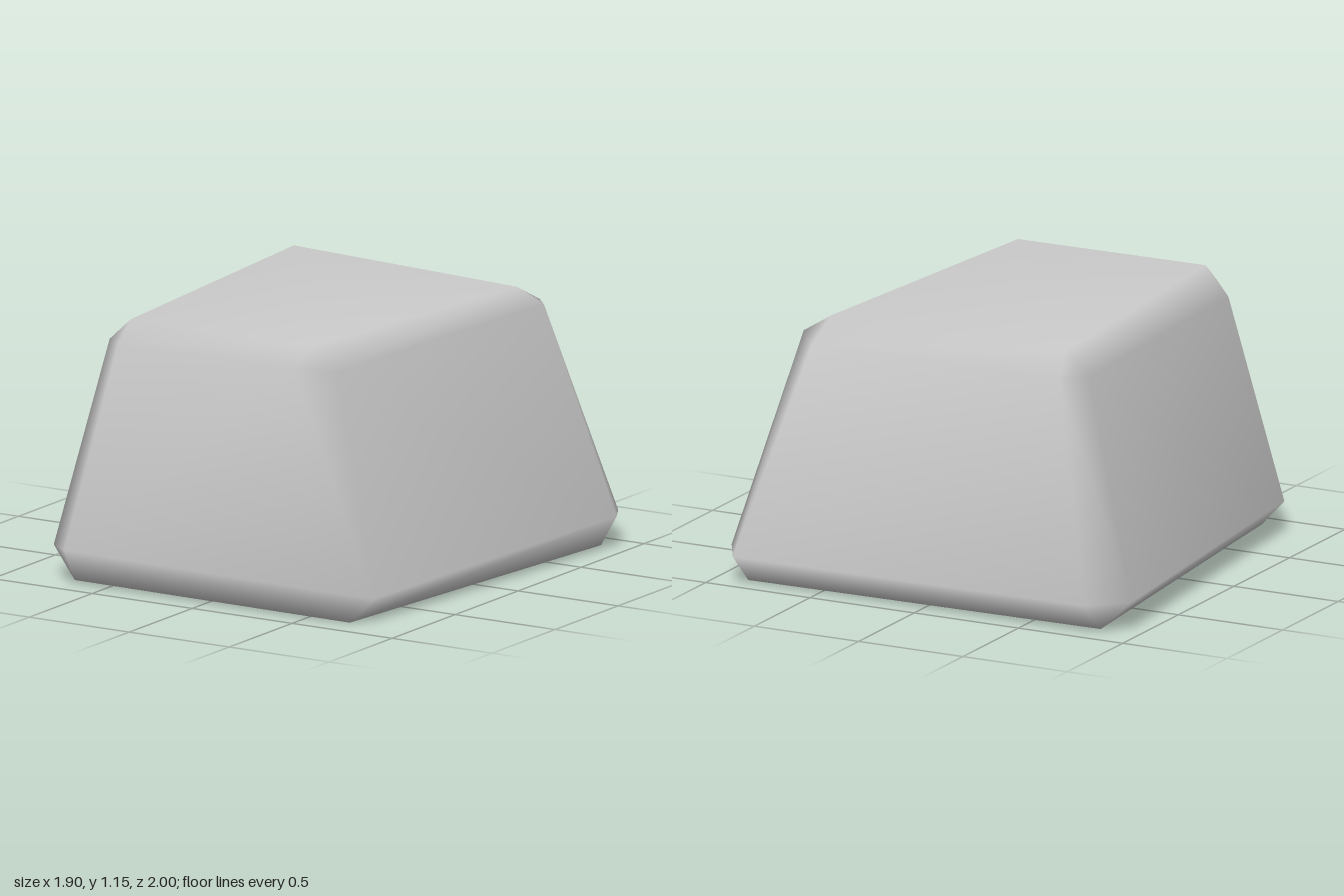
import * as THREE from 'three';

// Each corner of the tapered block is cut into three points:
// one on its side face (0), one on its top or bottom face (1), one on its front or back face (2).
// Keys give the signs of x, y, z.
const corners = {
  '---': [[-0.95, 0.13, -0.83], [-0.83, 0.01, -0.88], [-0.82, 0.14, -1.0]],
  '+--': [[0.95, 0.14, -0.86], [0.86, 0, -0.88], [0.87, 0.13, -1.0]],
  '--+': [[-0.8, 0.14, 0.83], [-0.67, 0.01, 0.87], [-0.64, 0.17, 1.0]],
  '+-+': [[0.8, 0.11, 0.83], [0.7, 0, 0.86], [0.6, 0.16, 1.0]],
  '-+-': [[-0.69, 1.06, -0.72], [-0.57, 1.155, -0.71], [-0.6, 1.06, -0.82]],
  '++-': [[0.7, 1.07, -0.68], [0.59, 1.14, -0.64], [0.59, 1.05, -0.82]],
  '-++': [[-0.59, 1.04, 0.72], [-0.46, 1.15, 0.76], [-0.46, 1.06, 0.86]],
  '+++': [[0.56, 1.05, 0.74], [0.44, 1.145, 0.76], [0.42, 1.07, 0.86]],
};

function buildBlock() {
  const keys = Object.keys(corners);
  const points = keys.flatMap((k) => corners[k].map((p) => new THREE.Vector3(...p)));
  const centre = new THREE.Vector3(0, 0.57, 0);
  const index = [];
  const id = (key, axis) => keys.indexOf(key.join('')) * 3 + axis;

  // adds a polygon, turned so that it faces outwards
  const addFace = (ids) => {
    const [a, b, c] = ids.map((i) => points[i]);
    const normal = b.clone().sub(a).cross(c.clone().sub(a));
    const loop = normal.dot(a.clone().sub(centre)) < 0 ? [...ids].reverse() : ids;
    for (let i = 1; i < loop.length - 1; i++) index.push(loop[0], loop[i], loop[i + 1]);
  };

  const signs = ['-', '+'];
  for (let axis = 0; axis < 3; axis++) {
    const u = (axis + 1) % 3;
    const v = (axis + 2) % 3;
    const key = (a, b, c) => {
      const k = [];
      k[axis] = a;
      k[u] = b;
      k[v] = c;
      return k;
    };
    // large faces
    for (const s of signs) {
      addFace([['-', '-'], ['+', '-'], ['+', '+'], ['-', '+']].map(([b, c]) => id(key(s, b, c), axis)));
    }
    // bevels along this axis
    for (const b of signs) {
      for (const c of signs) {
        const start = key('-', b, c);
        const end = key('+', b, c);
        addFace([id(start, u), id(end, u), id(end, v), id(start, v)]);
      }
    }
  }
  // corner triangles
  keys.forEach((_, i) => addFace([i * 3, i * 3 + 1, i * 3 + 2]));

  const geometry = new THREE.BufferGeometry().setFromPoints(points);
  geometry.setIndex(index);
  geometry.computeVertexNormals();
  return geometry;
}

export function createModel() {
  const group = new THREE.Group();
  group.name = 'bevelledBlock';
  const block = new THREE.Mesh(buildBlock(), new THREE.MeshStandardMaterial({ color: 0xcccccc }));
  block.name = 'taperedBlock';
  group.add(block);
  return group;
}
